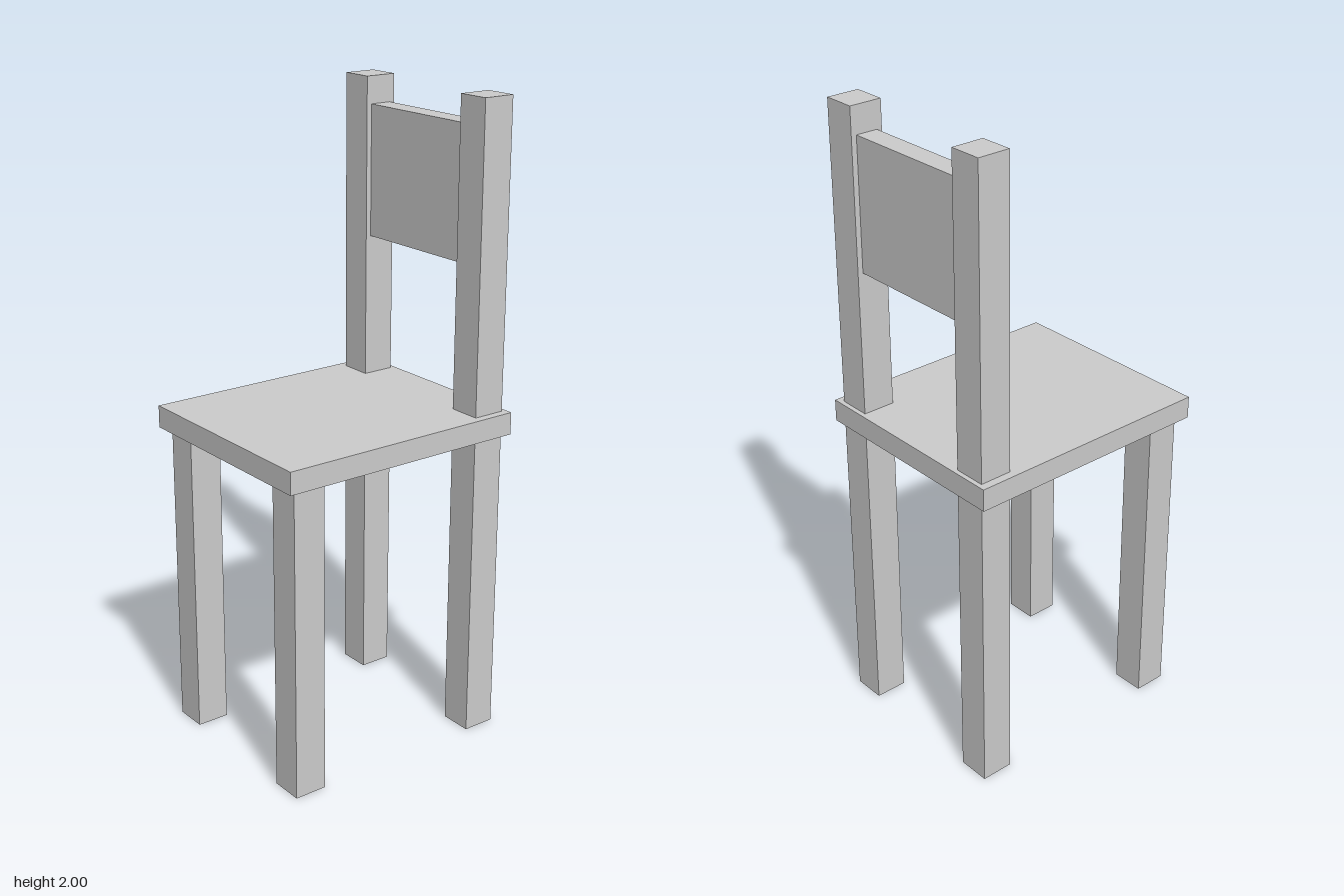
import * as THREE from 'three';

export function createModel() {
  const model = new THREE.Group();
  const material = new THREE.MeshStandardMaterial({ color: 0xcccccc, flatShading: true });

  // Box given by its centre in x and z, and its bottom and top heights
  function addBox(name, width, depth, bottom, top, x, z) {
    const mesh = new THREE.Mesh(new THREE.BoxGeometry(width, top - bottom, depth), material);
    mesh.name = name;
    mesh.position.set(x, (bottom + top) / 2, z);
    model.add(mesh);
  }

  const seatBottom = 0.985, seatTop = 1.055;
  const post = 0.104, postX = 0.267, frontZ = 0.325, backZ = -0.34;

  addBox('seat', 0.69, 0.814, seatBottom, seatTop, 0, 0);

  // Legs, with the back posts rising above the seat
  for (const [side, sign] of [['left', 1], ['right', -1]]) {
    addBox(`${side}FrontLeg`, post, post, 0, seatBottom, sign * postX, frontZ);
    addBox(`${side}BackLeg`, post, post, 0, seatBottom, sign * postX, backZ);
    addBox(`${side}BackPost`, post, post, seatTop, 2, sign * postX, backZ);
  }

  // Panel between the back posts
  addBox('backrest', 2 * postX - post, 0.07, 1.505, 1.915, 0, backZ);

  return model;
}
